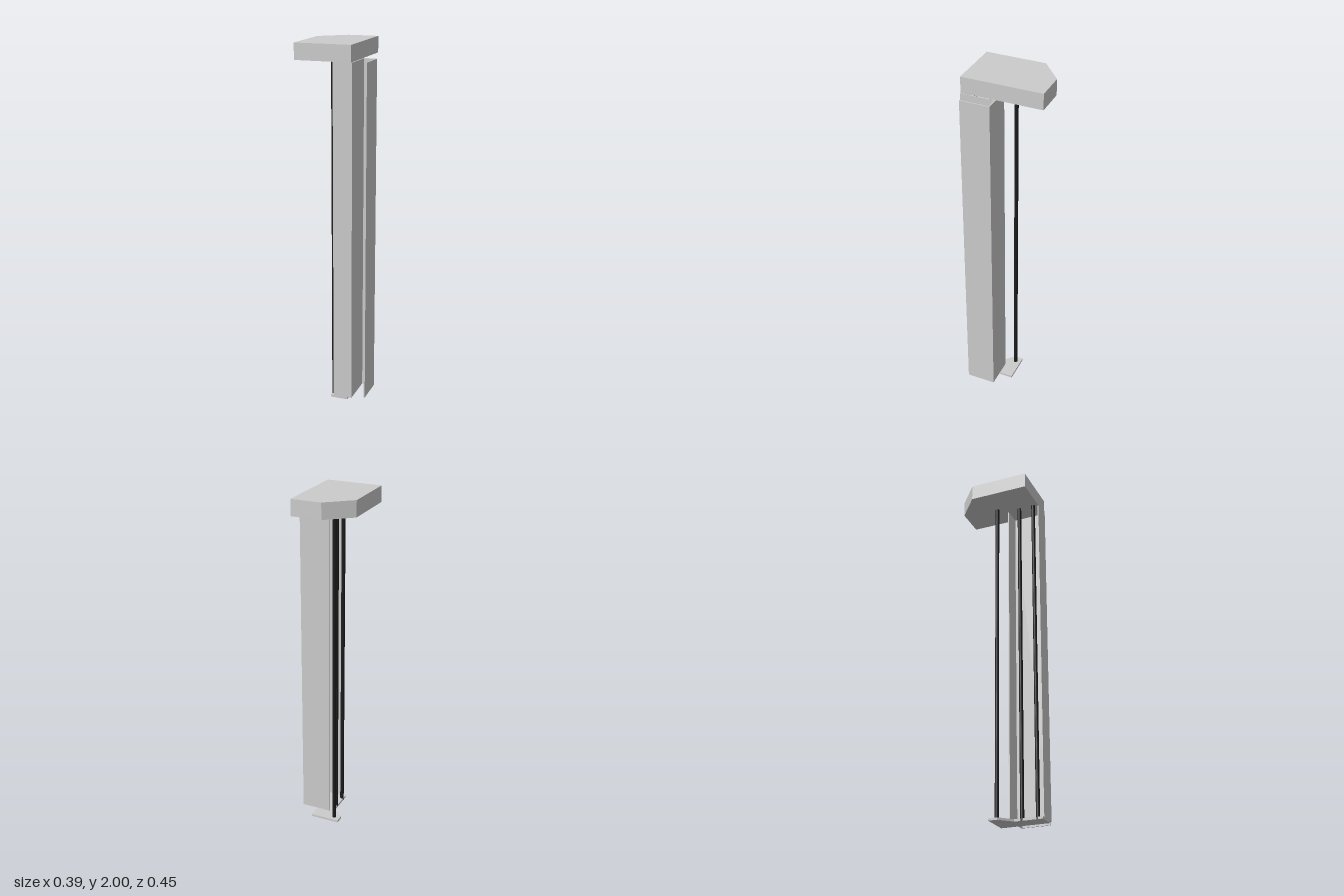
import * as THREE from 'three';

const grey = new THREE.MeshStandardMaterial({ color: 0xcccccc });
const dark = new THREE.MeshStandardMaterial({ color: 0x1c1c1c });

// Extrudes an outline of [x, z] corners upwards from y0 to y1
function prism(name, corners, y0, y1) {
  const shape = new THREE.Shape(corners.map(([x, z]) => new THREE.Vector2(x, -z)));
  const geometry = new THREE.ExtrudeGeometry(shape, { depth: y1 - y0, bevelEnabled: false });
  geometry.rotateX(-Math.PI / 2);
  geometry.translate(0, y0, 0);
  const mesh = new THREE.Mesh(geometry, grey);
  mesh.name = name;
  return mesh;
}

export function createModel() {
  const model = new THREE.Group();
  model.name = 'column';
  const base = 0.013, under = 1.91;

  // Head block with one cut corner
  model.add(prism('headBlock', [
    [-0.197, 0.226], [0.118, 0.226], [0.118, -0.228], [-0.055, -0.228], [-0.197, -0.11],
  ], under, 2));

  // Thin foot plate with a lug under the free rod
  model.add(prism('footPlate', [
    [0, 0.226], [0.1, 0.226], [0.1, -0.05], [-0.07, -0.05], [-0.07, 0], [0, 0.066],
  ], 0, base));

  // Folded sheet: open channel around the rods, plus an outer flange
  const t = 0.006;
  const back = 0.029, front = 0.226, edge = 0.018, wall = 0.119, outer = 0.195;
  model.add(prism('foldedPanel', [
    [edge, back], [outer, back], [outer, 0.197], [outer - t, 0.197],
    [outer - t, back + t], [wall + t, back + t], [wall + t, front], [edge, front],
    [edge, front - t], [wall, front - t], [wall, back + t], [edge, back + t],
  ], base, under));

  // Vertical rods between foot plate and head block
  const rodGeometry = new THREE.CylinderGeometry(0.011, 0.011, under - 0.001, 24);
  [['freeRod', -0.033, -0.018], ['middleRod', 0.01, 0.107], ['frontRod', 0.01, 0.195]]
    .forEach(([name, x, z]) => {
      const rod = new THREE.Mesh(rodGeometry, dark);
      rod.name = name;
      rod.position.set(x, under / 2, z);
      model.add(rod);
    });

  return model;
}
